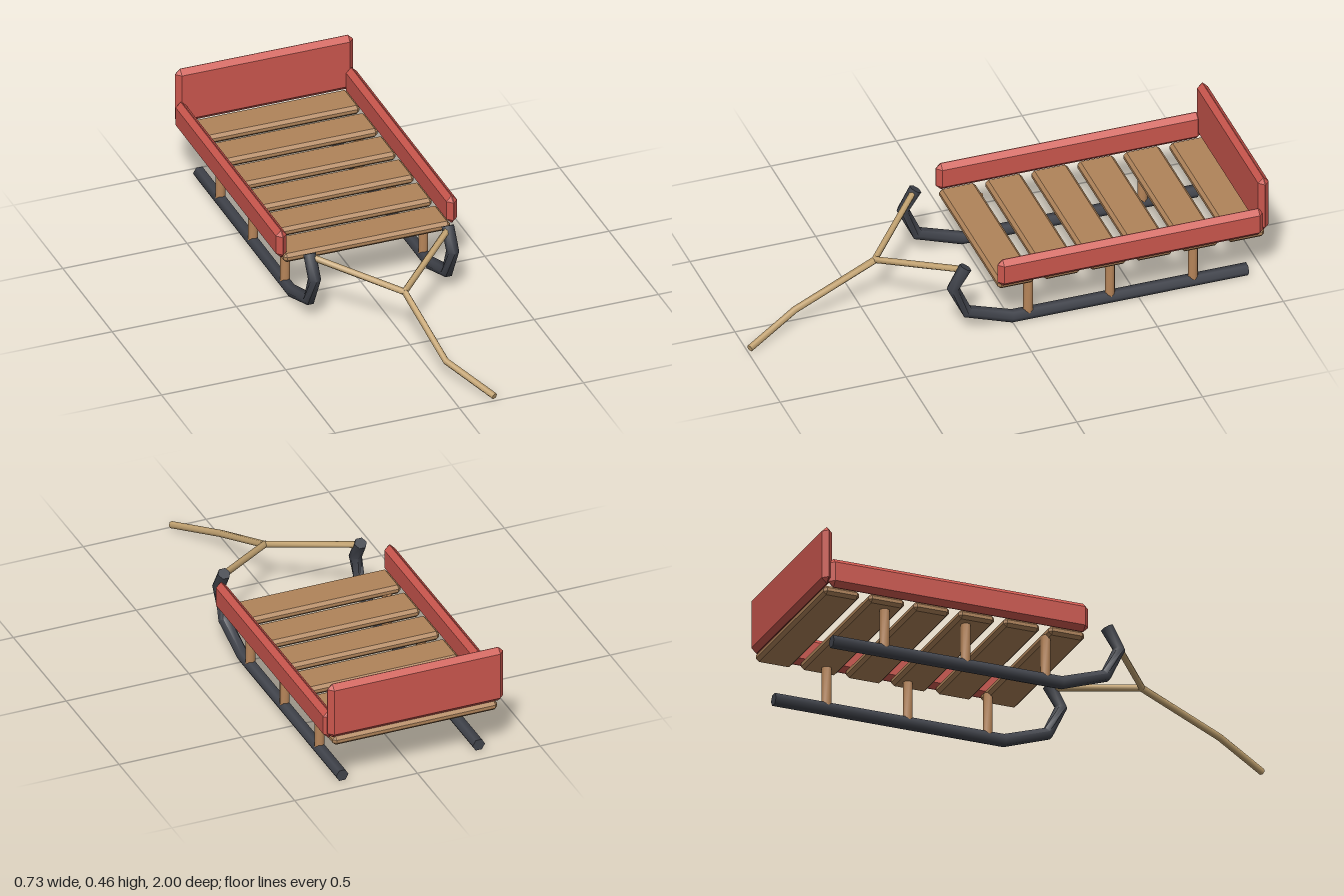
import * as THREE from 'three';
import { toCreasedNormals } from 'three/addons/utils/BufferGeometryUtils.js';
import { ConvexGeometry } from 'three/addons/geometries/ConvexGeometry.js';

const mat = (color) => new THREE.MeshStandardMaterial({ color });

// Box with chamfered edges and corners, given full sizes and chamfer width
function chamferBox(w, h, d, c) {
  const points = [];
  for (const sx of [-1, 1]) for (const sy of [-1, 1]) for (const sz of [-1, 1]) {
    const x = w / 2, y = h / 2, z = d / 2;
    points.push(
      new THREE.Vector3(sx * x, sy * (y - c), sz * (z - c)),
      new THREE.Vector3(sx * (x - c), sy * y, sz * (z - c)),
      new THREE.Vector3(sx * (x - c), sy * (y - c), sz * z));
  }
  return new ConvexGeometry(points);
}

// Six-sided bar swept along a bent path, with an optional twist per ring
function sweep(path, radius, twist = []) {
  const sides = 6, pos = [], index = [];
  const pts = path.map((p) => new THREE.Vector3(...p));
  pts.forEach((p, i) => {
    const t = new THREE.Vector3();
    if (i > 0) t.add(p.clone().sub(pts[i - 1]).normalize());
    if (i < pts.length - 1) t.add(pts[i + 1].clone().sub(p).normalize());
    t.normalize();
    const side = new THREE.Vector3(1, 0, 0).addScaledVector(t, -t.x).normalize();
    const up = t.clone().cross(side);
    for (let j = 0; j < sides; j++) {
      const a = (j / sides) * Math.PI * 2 + (twist[i] || 0);
      const v = p.clone().addScaledVector(side, Math.cos(a) * radius).addScaledVector(up, Math.sin(a) * radius);
      pos.push(v.x, v.y, v.z);
    }
  });
  const last = (pts.length - 1) * sides;
  for (let i = 0; i < last; i += sides) {
    for (let j = 0; j < sides; j++) {
      const a = i + j, b = i + (j + 1) % sides;
      index.push(a, b, b + sides, a, b + sides, a + sides);
    }
  }
  for (let j = 1; j < sides - 1; j++) index.push(0, j + 1, j, last, last + j, last + j + 1);
  const geo = new THREE.BufferGeometry();
  geo.setAttribute('position', new THREE.Float32BufferAttribute(pos, 3));
  geo.setIndex(index);
  return toCreasedNormals(geo, 1.15);
}

export function createModel() {
  const group = new THREE.Group();
  const red = mat(0xcc574e), wood = mat(0xb0845a), postWood = mat(0xb8865a);
  const iron = mat(0x41444c), cord = mat(0xc4a472);
  const add = (name, geo, material, x = 0, y = 0, z = 0) => {
    const mesh = new THREE.Mesh(geo, material);
    mesh.name = name;
    mesh.position.set(x, y, z);
    group.add(mesh);
  };

  // Seat slats
  const slat = chamferBox(0.67, 0.037, 0.145, 0.012);
  for (let i = 0; i < 6; i++) add('seatSlat', slat, wood, 0, 0.207, -0.183 * i);

  // Backboard
  add('backBoard', chamferBox(0.716, 0.232, 0.042, 0.02), red, 0, 0.344, -0.979);

  // Side rails, runners and posts, mirrored
  const rail = chamferBox(0.043, 0.116, 1.055, 0.02);
  const post = toCreasedNormals(new THREE.CylinderGeometry(0.02, 0.02, 0.18, 8), 1);
  for (const s of [-1, 1]) {
    const label = s > 0 ? 'left' : 'right', x = s * 0.278;
    add(label + 'Rail', rail, red, s * 0.343, 0.272, -0.448);
    add(label + 'Runner', sweep([
      [x, 0.022, -0.935], [x, 0.022, 0], [x, 0.083, 0.178], [x, 0.2, 0.233], [x, 0.283, 0.183],
    ], 0.025, [0, 0, 0, Math.PI / 6, 0]), iron);
    for (const z of [-0.065, -0.39, -0.72]) add(label + 'Post', post, postWood, x, 0.11, z);
    // Rope branch from the runner tip to the knot
    add(label + 'RopeBranch', sweep([[x, 0.274, 0.19], [0, 0.2, 0.445]], 0.013), cord);
  }

  // Pull rope
  add('pullRope', sweep([
    [0, 0.203, 0.435], [0.036, 0.072, 0.775], [0.145, 0.016, 0.993],
  ], 0.0135), cord);

  return group;
}
